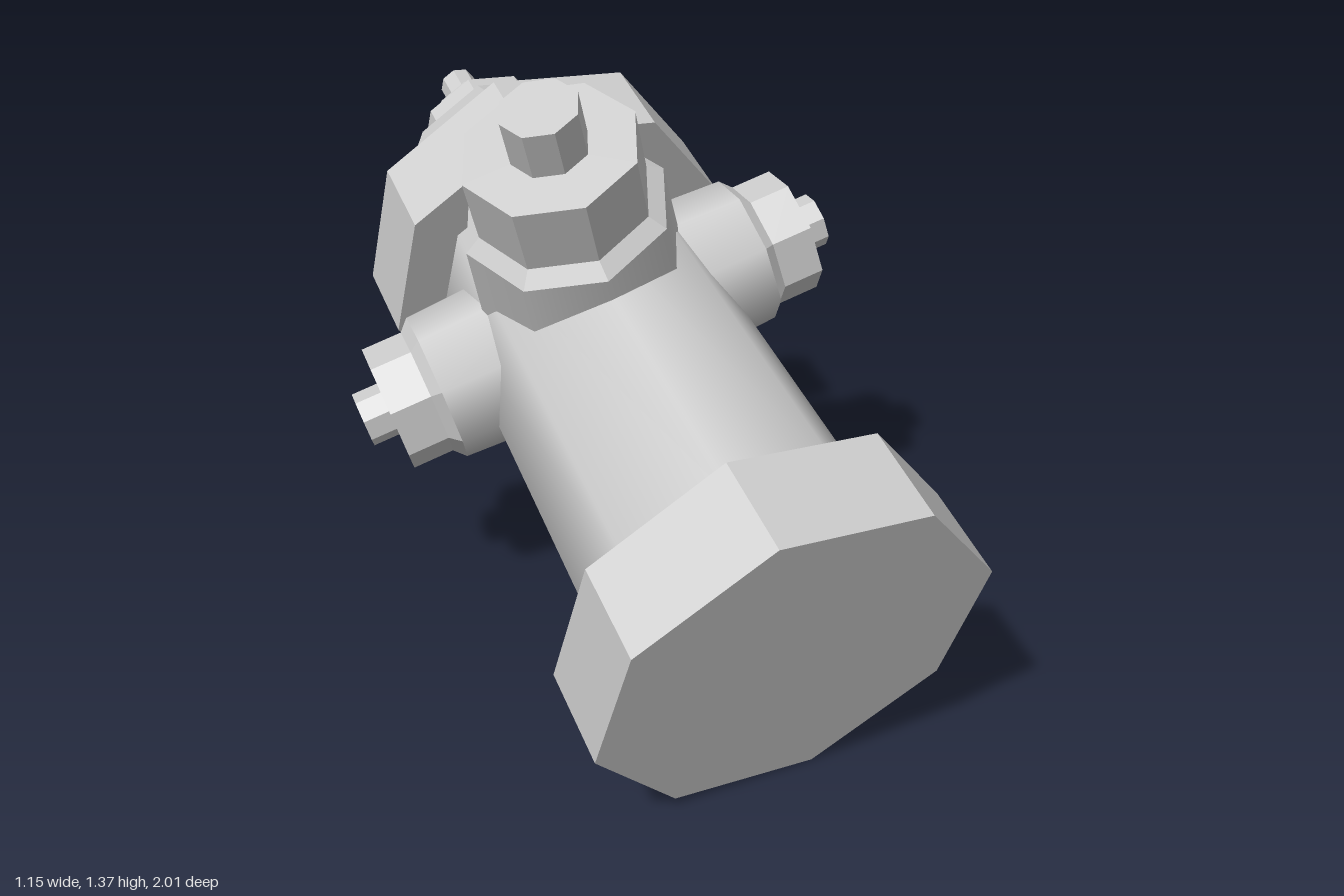
import * as THREE from 'three';

const SIDES = 8;
const flat = new THREE.MeshStandardMaterial({ color: 0xcccccc, flatShading: true });
const smooth = new THREE.MeshStandardMaterial({ color: 0xcccccc, side: THREE.DoubleSide });

// Eight-sided turned part from [radius, height] pairs, bottom to top
function turned(name, profile, material = flat) {
  const points = profile.map(([r, y]) => new THREE.Vector2(r, y));
  const mesh = new THREE.Mesh(new THREE.LatheGeometry(points, SIDES), material);
  mesh.name = name;
  return mesh;
}

// Solid octagonal slab with sharp edges
function slab(name, radius, y0, y1) {
  return turned(name, [[0, y0], [radius, y0], [radius, y1], [0, y1]]);
}

// Outlet growing along +y: pipe, chamfered rim, cap nut and stud
function outlet(name, { root, pipe, cap, stud, pipeEnd, capStart, capEnd, studEnd }) {
  const group = new THREE.Group();
  group.name = name;
  group.add(
    turned('outletPipe', [[root, 0], [pipe, pipeEnd]], smooth),
    turned('outletRim', [[pipe, pipeEnd], [cap, capStart]]),
    slab('outletCap', cap, capStart, capEnd),
    slab('outletStud', stud, capEnd, studEnd)
  );
  return group;
}

export function createModel() {
  const model = new THREE.Group();
  model.name = 'fireHydrant';

  // Upright hydrant: y is its own axis, z its main outlet
  const hydrant = new THREE.Group();
  hydrant.name = 'hydrant';
  model.add(hydrant);

  hydrant.add(
    slab('baseFlange', 0.437, 0, 0.213),
    turned('barrel', [[0.324, 0.2], [0.305, 1.25]], smooth),
    slab('upperFlange', 0.424, 1.23, 1.43),
    turned('dome', [[0.32, 1.43], [0.297, 1.55], [0.235, 1.655], [0.15, 1.72]]),
    slab('domeCollar', 0.165, 1.7, 1.77),
    turned('domeCap', [[0.127, 1.77], [0.103, 1.84], [0.053, 1.89], [0, 1.89]]),
    slab('topStud', 0.046, 1.87, 1.964)
  );

  // Two mirrored side outlets
  const outletHeight = 1.02;
  for (const side of [1, -1]) {
    const arm = outlet(side > 0 ? 'leftOutlet' : 'rightOutlet', {
      root: 0.195, pipe: 0.175, cap: 0.149, stud: 0.064,
      pipeEnd: 0.4, capStart: 0.425, capEnd: 0.522, studEnd: 0.584
    });
    arm.position.y = outletHeight;
    arm.rotation.z = -side * Math.PI / 2;
    hydrant.add(arm);
  }

  // Larger main outlet
  const main = outlet('mainOutlet', {
    root: 0.25, pipe: 0.235, cap: 0.198, stud: 0.088,
    pipeEnd: 0.37, capStart: 0.4, capEnd: 0.562, studEnd: 0.677
  });
  main.position.y = outletHeight;
  main.rotation.x = Math.PI / 2;
  hydrant.add(main);

  // Lay the hydrant over, leaning on its base rim
  const up = new THREE.Vector3(-0.0957, 0.3208, -0.9425).normalize();
  const forward = new THREE.Vector3(0.954, 0.3, 0).cross(up).normalize();
  const right = new THREE.Vector3().crossVectors(up, forward);
  hydrant.quaternion.setFromRotationMatrix(new THREE.Matrix4().makeBasis(right, up, forward));
  hydrant.position.set(0.098, 0.396, 0.855);

  return model;
}
